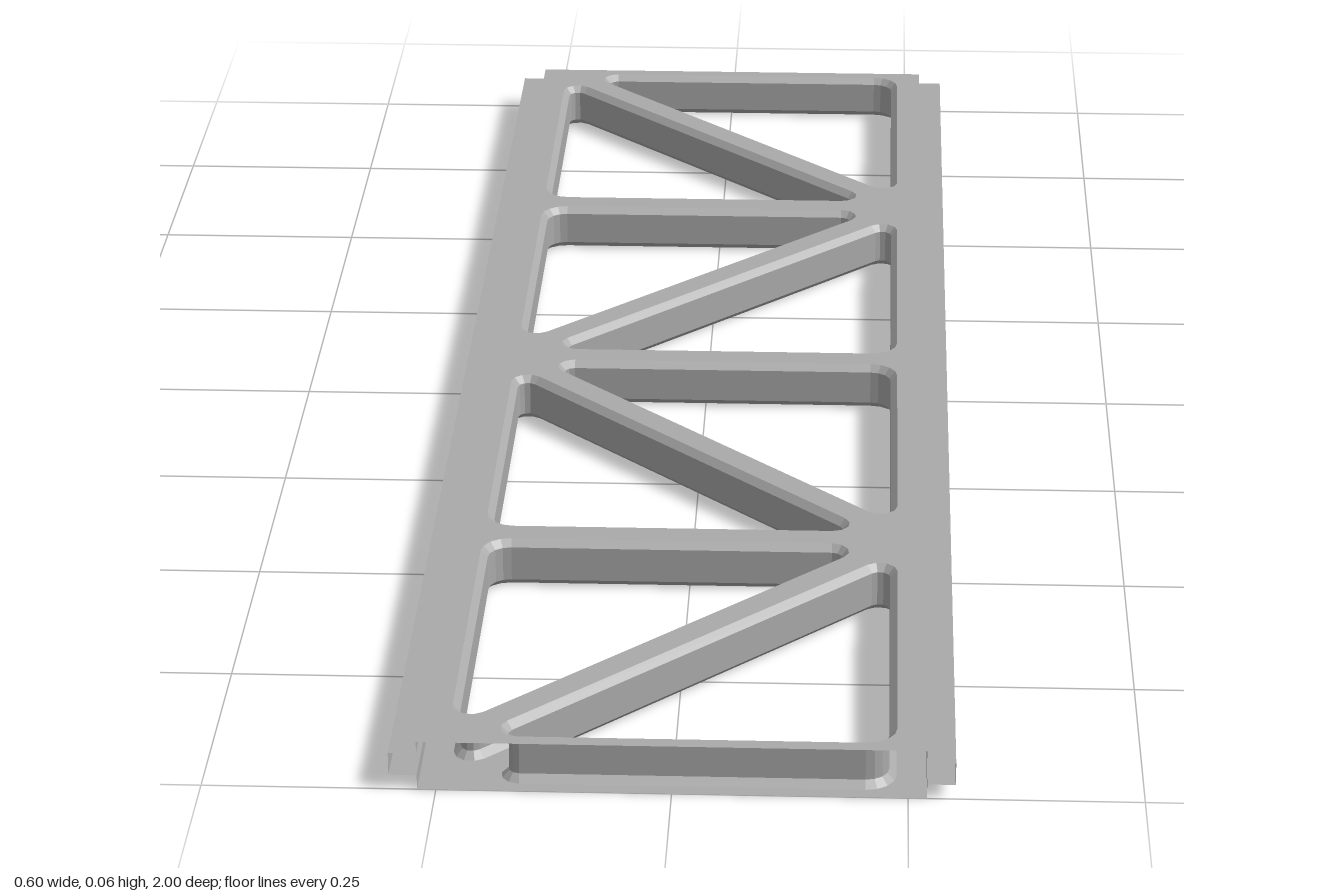
import * as THREE from 'three';

const H = 0.057, BEVEL = 0.008, HALF = 0.27, LEG = 0.504;

// Flat-shaded surface from a list of four-cornered faces
function quadGeometry(quads) {
  const pos = [];
  for (const [a, b, c, d] of quads) pos.push(...a, ...b, ...c, ...a, ...c, ...d);
  const geo = new THREE.BufferGeometry();
  geo.setAttribute('position', new THREE.Float32BufferAttribute(pos, 3));
  geo.computeVertexNormals();
  return geo;
}

// Triangle outline in (x, z), inset by d, with rounded corners
function windowLoop({ x, z, dz }, d, tighten) {
  const raw = [[x, z], [x - Math.sign(x) * LEG, z], [x, z + dz * LEG]]
    .map(p => new THREE.Vector2(...p));
  const loop = [];
  raw.forEach((v, i) => {
    const e1 = raw[(i + 2) % 3].clone().sub(v).normalize();
    const e2 = raw[(i + 1) % 3].clone().sub(v).normalize();
    const theta = Math.acos(e1.dot(e2));
    const r = (i === 0 ? 0.033 : 0.02) - tighten;
    const corner = v.clone().addScaledVector(e1.clone().add(e2), d / Math.sin(theta));
    const centre = corner.clone().addScaledVector(
      e1.clone().add(e2).normalize(), r / Math.sin(theta / 2));
    const t = r / Math.tan(theta / 2);
    const a1 = corner.clone().addScaledVector(e1, t).sub(centre).angle();
    let sweep = corner.clone().addScaledVector(e2, t).sub(centre).angle() - a1;
    sweep = Math.atan2(Math.sin(sweep), Math.cos(sweep));
    for (let k = 0; k <= 4; k++) {
      const a = a1 + sweep * k / 4;
      loop.push(new THREE.Vector2(centre.x + r * Math.cos(a), centre.y + r * Math.sin(a)));
    }
  });
  return THREE.ShapeUtils.area(loop) > 0 ? loop : loop.reverse();
}

export function createModel() {
  const group = new THREE.Group();
  const metal = new THREE.MeshStandardMaterial({ color: 0xaaaaaa, side: THREE.DoubleSide });
  metal.name = 'grey metal';
  const add = (name, geo) => {
    const mesh = new THREE.Mesh(geo, metal);
    mesh.name = name;
    group.add(mesh);
  };

  // Two triangular windows per bay, the diagonal alternating in direction
  const windows = [];
  for (let i = 0; i < 4; i++) {
    const z = -1 + 0.5 * i, s = i % 2 ? -1 : 1;
    windows.push({ x: s * 0.254, z, dz: 1 }, { x: -s * 0.254, z: z + 0.5, dz: -1 });
  }

  // Top and bottom faces with the windows cut out
  for (const [name, y, s] of [['topFace', H, -1], ['bottomFace', 0, 1]]) {
    const shape = new THREE.Shape([[-HALF, -1], [HALF, -1], [HALF, 1], [-HALF, 1]]
      .map(p => new THREE.Vector2(...p)));
    for (const w of windows) {
      shape.holes.push(new THREE.Path(
        windowLoop(w, 0.016, 0).map(p => new THREE.Vector2(p.x, s * p.y))));
    }
    add(name, new THREE.ShapeGeometry(shape).rotateX(s * Math.PI / 2).translate(0, y, 0));
  }

  // Window walls, bevelled at top and bottom
  windows.forEach((w, n) => {
    const outer = windowLoop(w, 0.016, 0), inner = windowLoop(w, 0.016 + BEVEL, BEVEL);
    const rings = [[outer, H], [inner, H - BEVEL], [inner, BEVEL], [outer, 0]]
      .map(([loop, y]) => loop.map(p => [p.x, y, p.y]));
    const quads = [];
    for (let k = 0; k < 3; k++) {
      const up = rings[k], low = rings[k + 1];
      up.forEach((p, i) => {
        const j = (i + 1) % up.length;
        quads.push([p, low[i], low[j], up[j]]);
      });
    }
    add('windowWall' + (n + 1), quadGeometry(quads));
  });

  // Side rails with a projecting tongue, open at both ends
  const profile = [[HALF, H], [HALF, 0.043], [0.3, 0.043], [0.3, 0.017], [HALF, 0.017], [HALF, 0]];
  for (const [name, s] of [['leftRail', 1], ['rightRail', -1]]) {
    const quads = [];
    for (let i = 0; i < profile.length - 1; i++) {
      const [ax, ay] = profile[i], [bx, by] = profile[i + 1];
      quads.push([[s * ax, ay, s], [s * bx, by, s], [s * bx, by, -s], [s * ax, ay, -s]]);
    }
    add(name, quadGeometry(quads));
  }
  return group;
}
